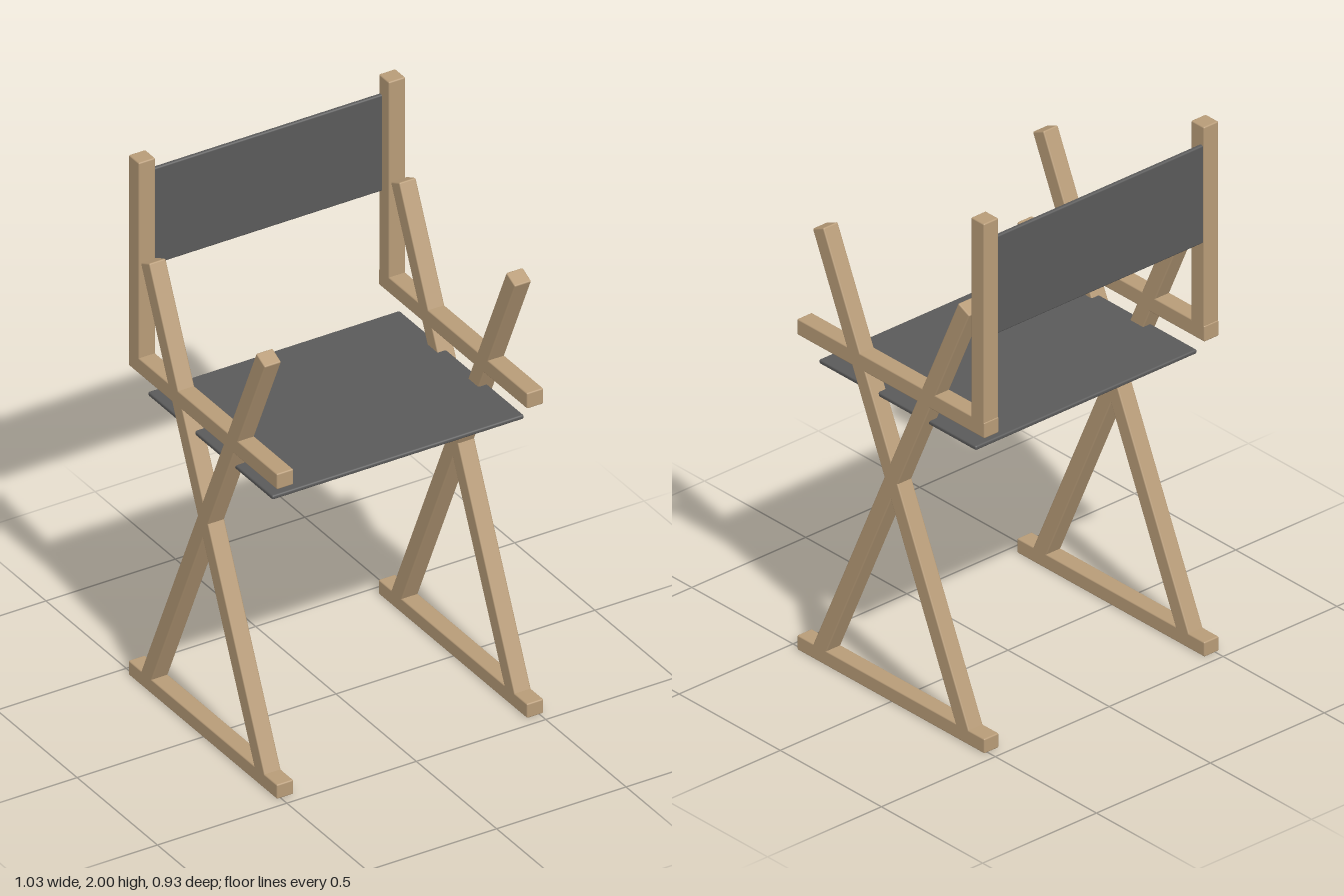
import * as THREE from 'three';
import { RoundedBoxGeometry } from 'three/addons/geometries/RoundedBoxGeometry.js';

export function createModel() {
  const wood = new THREE.MeshStandardMaterial({ color: 0xb89c78 });
  wood.name = 'wood';
  const canvas = new THREE.MeshStandardMaterial({ color: 0x5a5a5a });
  canvas.name = 'canvas';

  const chair = new THREE.Group();
  chair.name = 'foldingChair';

  // Softly rounded bar or panel
  function bar(parent, name, material, size, position, radius = 0.005) {
    const mesh = new THREE.Mesh(new RoundedBoxGeometry(...size, 2, radius), material);
    mesh.name = name;
    mesh.position.set(...position);
    parent.add(mesh);
    return mesh;
  }

  // Side frames: foot, crossed legs, arm rail and back post
  const width = 0.064;
  const tilt = Math.atan2(0.36, 0.8);
  for (const [side, s] of [['left', 1], ['right', -1]]) {
    const frame = new THREE.Group();
    frame.name = side + 'Frame';
    frame.position.x = s * 0.483;
    chair.add(frame);

    bar(frame, side + 'Foot', wood, [width, 0.055, 0.926], [0, 0.0275, 0]);
    bar(frame, side + 'ArmRail', wood, [width, 0.06, 0.926], [0, 1.22, 0]);
    bar(frame, side + 'BackPost', wood, [width, 0.8, 0.064], [0, 1.6, -0.429]);
    for (const [name, d] of [['ForwardLeg', 1], ['BackwardLeg', -1]]) {
      const leg = bar(frame, side + name, wood, [width, 1.755, 0.06], [0, 0.835, 0]);
      leg.rotation.x = d * tilt;
    }
  }

  // Canvas seat and backrest
  bar(chair, 'seat', canvas, [0.972, 0.016, 0.776], [0, 1.11, 0], 0.006);
  bar(chair, 'backrest', canvas, [0.966, 0.37, 0.016], [0, 1.745, -0.448], 0.006);

  return chair;
}
